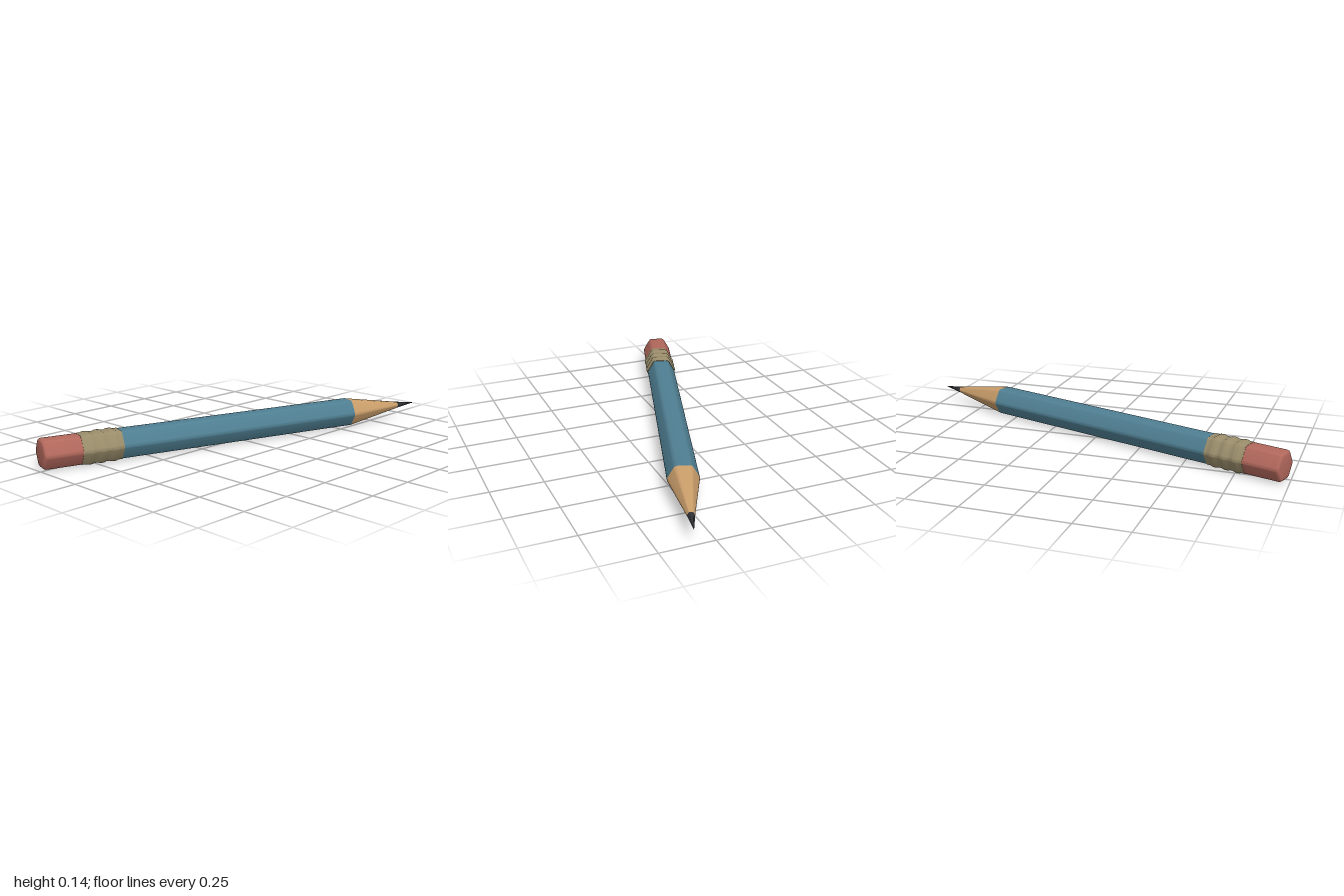
import * as THREE from 'three';
import { toCreasedNormals } from 'three/addons/utils/BufferGeometryUtils.js';

const APOTHEM = 0.0655; // half the distance across the flats of the barrel
const FILLET = 0.02;    // rounding of the six long edges

// Hexagon outline with rounded corners, flat side up, as [y, z] pairs
function hexOutline() {
  const points = [];
  const reach = (APOTHEM - FILLET) / Math.cos(Math.PI / 6);
  for (let k = 0; k < 6; k++) {
    const corner = (k * Math.PI) / 3;
    for (const turn of [-30, -10, 10, 30]) {
      const a = corner + THREE.MathUtils.degToRad(turn);
      points.push([
        reach * Math.sin(corner) + FILLET * Math.sin(a),
        reach * Math.cos(corner) + FILLET * Math.cos(a),
      ]);
    }
  }
  return points;
}

// Loft the hexagon along x through [x, apothem] stations of rising x
function loftHex(stations, crease = 0.5) {
  const outline = hexOutline();
  const n = outline.length;
  const positions = [];
  const put = (i, j) => {
    const [x, size] = stations[i];
    const [y, z] = outline[j % n];
    const k = size / APOTHEM;
    positions.push(x, y * k, z * k);
  };
  for (let i = 0; i < stations.length - 1; i++) {
    for (let j = 0; j < n; j++) {
      if (stations[i + 1][1] > 0) {
        put(i, j); put(i + 1, j); put(i + 1, j + 1);
      }
      if (stations[i][1] > 0) {
        put(i, j); put(i + 1, j + 1); put(i, j + 1);
      }
    }
  }
  const geometry = new THREE.BufferGeometry();
  geometry.setAttribute('position', new THREE.Float32BufferAttribute(positions, 3));
  return toCreasedNormals(geometry, crease);
}

function flatColour(name, color) {
  const material = new THREE.MeshStandardMaterial({ color });
  material.name = name;
  return material;
}

export function createModel() {
  const model = new THREE.Group();
  model.name = 'pencil';
  const pencil = new THREE.Group();
  pencil.name = 'pencilBody';

  const add = (name, stations, material) => {
    const mesh = new THREE.Mesh(loftHex(stations), material);
    mesh.name = name;
    pencil.add(mesh);
  };

  // Painted barrel
  add('barrel', [[-0.67, APOTHEM], [0.613, APOTHEM]], flatColour('bluePaint', 0x4f7f92));

  // Sharpened wood and graphite point share one straight taper
  add('sharpenedWood', [[0.613, APOTHEM], [0.93, 0.0155]], flatColour('bareWood', 0xc99d6a));
  add('leadPoint', [[0.93, 0.0155], [1.038, 0.0012], [1.04, 0]], flatColour('graphite', 0x2f3034));

  // Metal ferrule with three raised, rounded bands
  const ferrule = [[-0.854, 0.064], [-0.854, 0.0675]];
  for (const centre of [-0.815, -0.757, -0.699]) {
    for (const [dx, rise] of [[-0.02, 0], [-0.013, 0.003], [-0.005, 0.004], [0.005, 0.004], [0.013, 0.003], [0.02, 0]]) {
      ferrule.push([centre + dx, 0.0675 + rise]);
    }
  }
  ferrule.push([-0.659, 0.0675], [-0.659, 0.064]);
  add('ferrule', ferrule, flatColour('brass', 0x9a8d6b));

  // Eraser with a softened end
  const eraser = [[-1.033, 0], [-1.033, 0.0515]];
  for (const degrees of [22.5, 45, 67.5, 90]) {
    const a = THREE.MathUtils.degToRad(degrees);
    eraser.push([-1.018 - 0.015 * Math.cos(a), 0.0515 + 0.015 * Math.sin(a)]);
  }
  eraser.push([-0.845, 0.0665]);
  add('eraser', eraser, flatColour('pinkRubber', 0xb2685c));

  // Lay the pencil diagonally on the ground
  pencil.rotation.y = THREE.MathUtils.degToRad(-17.6);
  pencil.position.set(0.006, 0.0715, 0.033);
  model.add(pencil);
  return model;
}
